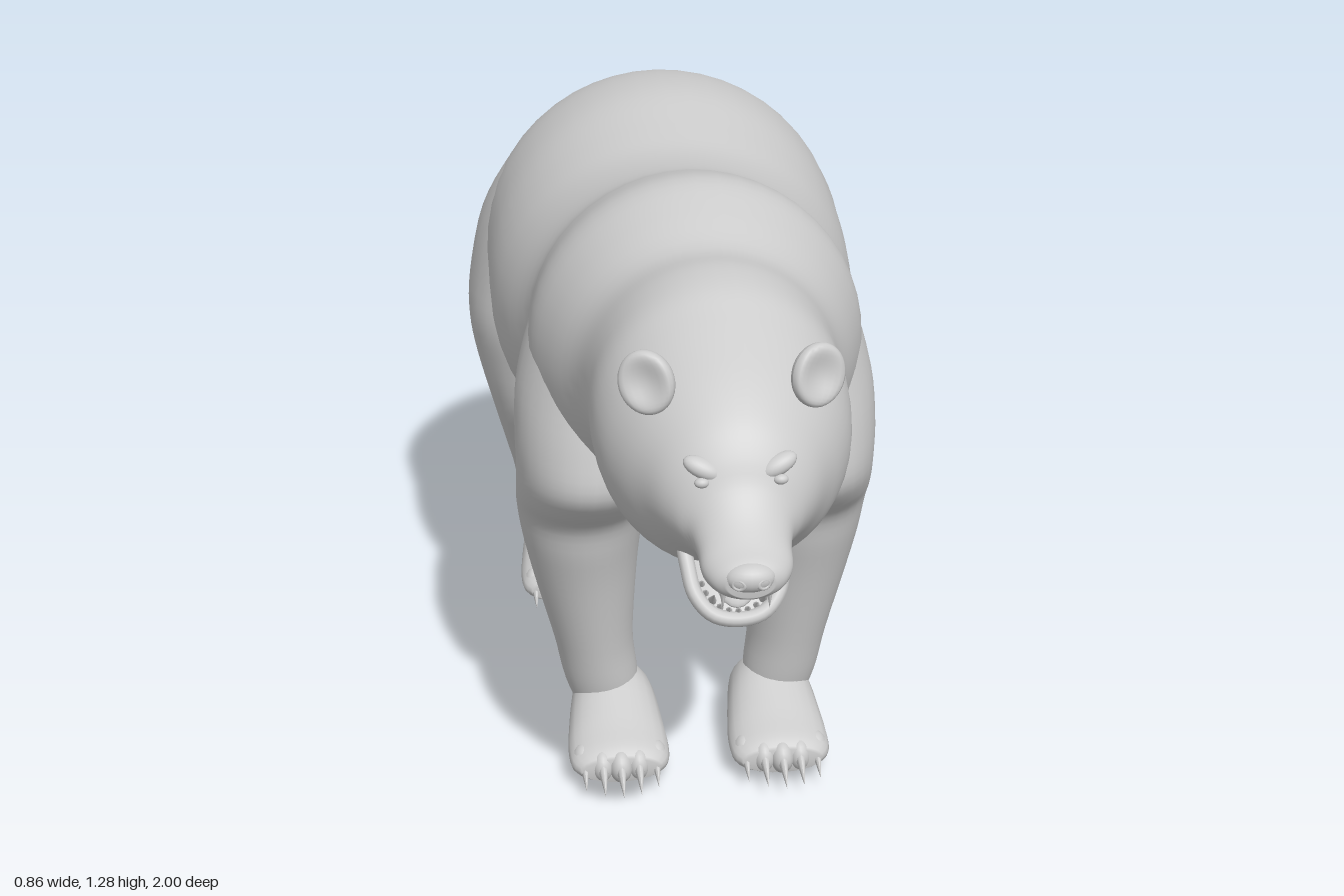
import * as THREE from 'three';

const skin = new THREE.MeshStandardMaterial({ color: 0xcccccc });

// Smoothly interpolates rows of numbers, k steps between neighbours
function resample(rows, k) {
  const out = [];
  const at = (i) => rows[Math.min(Math.max(i, 0), rows.length - 1)];
  for (let i = 0; i < rows.length - 1; i++) {
    for (let j = 0; j < k; j++) {
      const t = j / k;
      out.push(rows[i].map((b, c) => {
        const a = at(i - 1)[c], d = at(i + 1)[c], e = at(i + 2)[c];
        return b + 0.5 * t * (d - a + t * (2 * a - 5 * b + 4 * d - e + t * (3 * (b - d) + e - a)));
      }));
    }
  }
  out.push(rows[rows.length - 1]);
  return out;
}

// Closed skin over rings; point(row, cos, sin) gives one corner of a ring
function loft(rows, point, n = 32, k = 4) {
  const rings = resample(rows, k), pos = [], idx = [];
  rings.forEach((r) => {
    for (let i = 0; i < n; i++) {
      const a = (i / n) * Math.PI * 2;
      pos.push(...point(r, Math.cos(a), Math.sin(a)));
    }
  });
  for (let r = 0; r < rings.length - 1; r++) {
    for (let i = 0; i < n; i++) {
      const a = r * n + i, b = r * n + (i + 1) % n;
      idx.push(a, b, b + n, a, b + n, a + n);
    }
  }
  // End caps
  [0, rings.length - 1].forEach((r, end) => {
    const c = pos.length / 3;
    const p = point(rings[r], 1, 0), q = point(rings[r], -1, 0);
    pos.push(...p.map((v, i) => (v + q[i]) / 2));
    for (let i = 0; i < n; i++) {
      const a = r * n + i, b = r * n + (i + 1) % n;
      if (end) idx.push(c, a, b); else idx.push(c, b, a);
    }
  });
  const g = new THREE.BufferGeometry();
  g.setAttribute('position', new THREE.Float32BufferAttribute(pos, 3));
  g.setIndex(idx);
  g.computeVertexNormals();
  return g;
}

// Ring along z: [z, bottom, top, halfWidth]
const alongZ = (cx = 0) => ([z, lo, hi, w], c, s) => [cx + w * c, (lo + hi) / 2 + s * (hi - lo) / 2, z];
// Ring along y: [y, x, z, radiusX, radiusZ, forward shift of the outer side]
const alongY = (side = 1) => ([y, x, z, rx, rz, shift = 0], c, s) =>
  [side * x + rx * c, y, z - rz * s + shift * side * c];

function add(parent, name, geometry, p = [0, 0, 0], scale = [1, 1, 1], rot = [0, 0, 0]) {
  const m = new THREE.Mesh(geometry, skin);
  m.name = name;
  m.position.set(...p);
  m.scale.set(...scale);
  m.rotation.set(...rot);
  parent.add(m);
}

const ball = new THREE.SphereGeometry(1, 20, 14);
const spike = new THREE.ConeGeometry(1, 1, 8);

// Foot with five toes and claws; z is the heel
function addFoot(parent, name, cx, z) {
  const foot = new THREE.Group();
  foot.name = name;
  add(foot, 'sole', loft([
    [z - 0.012, 0.06, 0.11, 0.035], [z, 0.035, 0.14, 0.062], [z + 0.025, 0.014, 0.165, 0.08],
    [z + 0.08, 0.004, 0.172, 0.09], [z + 0.15, 0.002, 0.142, 0.099], [z + 0.21, 0.005, 0.116, 0.104],
    [z + 0.26, 0.012, 0.098, 0.1], [z + 0.285, 0.025, 0.08, 0.08],
  ], alongZ(cx), 24, 3));
  for (let i = -2; i <= 2; i++) {
    const x = cx + i * 0.037, tz = z + 0.27 - 0.008 * i * i;
    add(foot, 'toe', ball, [x, 0.055, tz], [0.025, 0.035, 0.034]);
    add(foot, 'claw', spike, [x, 0.045, tz + 0.05], [0.012, 0.075, 0.017], [Math.PI / 2 + 0.4, 0, 0]);
  }
  parent.add(foot);
}

export function createModel() {
  const bear = new THREE.Group();
  bear.name = 'bear';

  // Trunk, neck, skull and upper muzzle in one skin
  add(bear, 'bodyAndHead', loft([
    [-0.96, 0.8, 0.92, 0.06], [-0.94, 0.72, 0.99, 0.14], [-0.89, 0.64, 1.07, 0.22],
    [-0.82, 0.58, 1.16, 0.29], [-0.73, 0.55, 1.22, 0.345], [-0.6, 0.53, 1.26, 0.38],
    [-0.45, 0.5, 1.268, 0.385], [-0.3, 0.48, 1.24, 0.383], [-0.18, 0.52, 1.22, 0.362],
    [-0.05, 0.575, 1.23, 0.322], [0.05, 0.595, 1.262, 0.322], [0.16, 0.61, 1.285, 0.325],
    [0.26, 0.65, 1.258, 0.295], [0.36, 0.705, 1.222, 0.252], [0.46, 0.728, 1.228, 0.235],
    [0.54, 0.73, 1.218, 0.235], [0.6, 0.732, 1.192, 0.231], [0.66, 0.736, 1.163, 0.218],
    [0.72, 0.755, 1.132, 0.193], [0.77, 0.79, 1.1, 0.163], [0.81, 0.815, 1.067, 0.138],
    [0.84, 0.827, 1.028, 0.113], [0.865, 0.829, 0.983, 0.09], [0.9, 0.828, 0.946, 0.08],
    [0.94, 0.826, 0.918, 0.077], [0.97, 0.83, 0.902, 0.062], [0.985, 0.84, 0.89, 0.04],
  ], alongZ(), 48));

  const face = new THREE.Group();
  face.name = 'face';
  bear.add(face);
  add(face, 'nose', ball, [0, 0.874, 0.972], [0.044, 0.026, 0.028]);

  // Lower jaw: a steeply opened trough with a raised lip
  const jaw = new THREE.Group();
  jaw.name = 'lowerJaw';
  jaw.position.set(0, 0.83, 0.74);
  jaw.rotation.x = 0.85;
  face.add(jaw);
  add(jaw, 'jawBone', loft([
    [-0.04, -0.07, -0.005, 0.1], [0.02, -0.066, -0.005, 0.095], [0.07, -0.055, -0.005, 0.086],
    [0.11, -0.043, -0.004, 0.074], [0.14, -0.034, -0.004, 0.054], [0.153, -0.026, -0.006, 0.03],
  ], alongZ()));
  const lipCurve = new THREE.CatmullRomCurve3([
    [0.09, 0.005, -0.01], [0.084, 0.005, 0.05], [0.073, 0.004, 0.105], [0.044, 0, 0.14], [0, -0.002, 0.15],
    [-0.044, 0, 0.14], [-0.073, 0.004, 0.105], [-0.084, 0.005, 0.05], [-0.09, 0.005, -0.01],
  ].map((p) => new THREE.Vector3(...p)));
  add(jaw, 'lip', new THREE.TubeGeometry(lipCurve, 40, 0.014, 10));
  add(jaw, 'tongue', ball, [0, -0.004, 0.07], [0.038, 0.013, 0.06]);

  // Teeth: rows on both jaws, with long canines
  for (let i = -5; i <= 5; i++) {
    const a = i * 0.27, canine = Math.abs(i) === 3, len = canine ? 0.05 : 0.02, r = canine ? 0.008 : 0.006;
    add(face, 'upperTooth', spike, [0.055 * Math.sin(a), 0.838 - len / 2, 0.885 + 0.065 * Math.cos(a)],
      [r, len, r], [Math.PI, 0, 0]);
    add(jaw, 'lowerTooth', spike, [0.062 * Math.sin(a), len / 2, 0.07 + 0.066 * Math.cos(a)], [r, len, r]);
  }

  // Ear: a ball with a hollowed front
  const earShape = new THREE.SphereGeometry(1, 24, 18);
  const ep = earShape.attributes.position;
  for (let i = 0; i < ep.count; i++) {
    const z = ep.getZ(i), r2 = ep.getX(i) ** 2 + ep.getY(i) ** 2;
    if (z > 0) ep.setZ(i, z * (0.9 - 0.8 * (1 - r2)));
  }
  earShape.computeVertexNormals();

  for (const side of [1, -1]) {
    const label = side > 0 ? 'left' : 'right';
    add(face, label + 'Ear', earShape, [side * 0.148, 1.122, 0.722], [0.05, 0.057, 0.036], [-0.2, side * 0.35, side * -0.25]);
    add(face, label + 'Eye', ball, [side * 0.067, 0.99, 0.849], [0.013, 0.009, 0.01]);
    add(face, label + 'Brow', ball, [side * 0.064, 1.01, 0.833], [0.036, 0.016, 0.019], [0.5, side * 0.4, side * 0.25]);
    add(face, label + 'Nostril', new THREE.TorusGeometry(0.01, 0.004, 8, 16), [side * 0.021, 0.87, 0.992],
      [1, 0.8, 1], [0, side * 0.4, 0]);

    // Front leg and shoulder
    add(bear, label + 'FrontLeg', loft([
      [0.07, 0.175, 0.065, 0.06, 0.045], [0.15, 0.19, 0.053, 0.077, 0.078], [0.25, 0.205, 0.05, 0.083, 0.098],
      [0.4, 0.22, 0.052, 0.106, 0.127], [0.5, 0.226, 0.063, 0.121, 0.142], [0.58, 0.225, 0.08, 0.132, 0.148],
      [0.64, 0.22, 0.115, 0.138, 0.177], [0.7, 0.213, 0.14, 0.144, 0.195], [0.78, 0.207, 0.14, 0.151, 0.185],
      [0.88, 0.195, 0.12, 0.155, 0.18], [1, 0.168, 0.105, 0.147, 0.175], [1.1, 0.132, 0.1, 0.13, 0.15],
      [1.18, 0.1, 0.1, 0.08, 0.1],
    ], alongY(side)));
    addFoot(bear, label + 'FrontFoot', side * 0.167, 0);

    // Hind leg and haunch
    add(bear, label + 'HindLeg', loft([
      [0.06, 0.23, -0.69, 0.06, 0.045, 0], [0.13, 0.235, -0.695, 0.08, 0.08, 0], [0.2, 0.241, -0.705, 0.085, 0.095, 0],
      [0.28, 0.246, -0.7, 0.091, 0.1, 0], [0.36, 0.25, -0.688, 0.106, 0.124, 0], [0.48, 0.243, -0.68, 0.142, 0.173, 0.02],
      [0.6, 0.222, -0.69, 0.192, 0.2, 0.045], [0.7, 0.212, -0.7, 0.216, 0.218, 0.07], [0.8, 0.202, -0.712, 0.222, 0.23, 0.08],
      [0.95, 0.182, -0.695, 0.211, 0.22, 0.085], [1.08, 0.145, -0.65, 0.183, 0.195, 0.08], [1.18, 0.105, -0.61, 0.135, 0.14, 0.05],
      [1.23, 0.08, -0.6, 0.06, 0.07, 0.02],
    ], alongY(side)));
    addFoot(bear, label + 'HindFoot', side * 0.23, -0.765);
  }

  // Short hanging tail
  add(bear, 'tail', loft([
    [0.82, 0, -0.98, 0.035, 0.016], [0.84, 0, -0.976, 0.054, 0.024], [0.89, 0, -0.96, 0.062, 0.036],
    [0.95, 0, -0.93, 0.058, 0.044], [1.01, 0, -0.89, 0.05, 0.05], [1.06, 0, -0.85, 0.03, 0.04],
  ], alongY(), 20));

  return bear;
}
